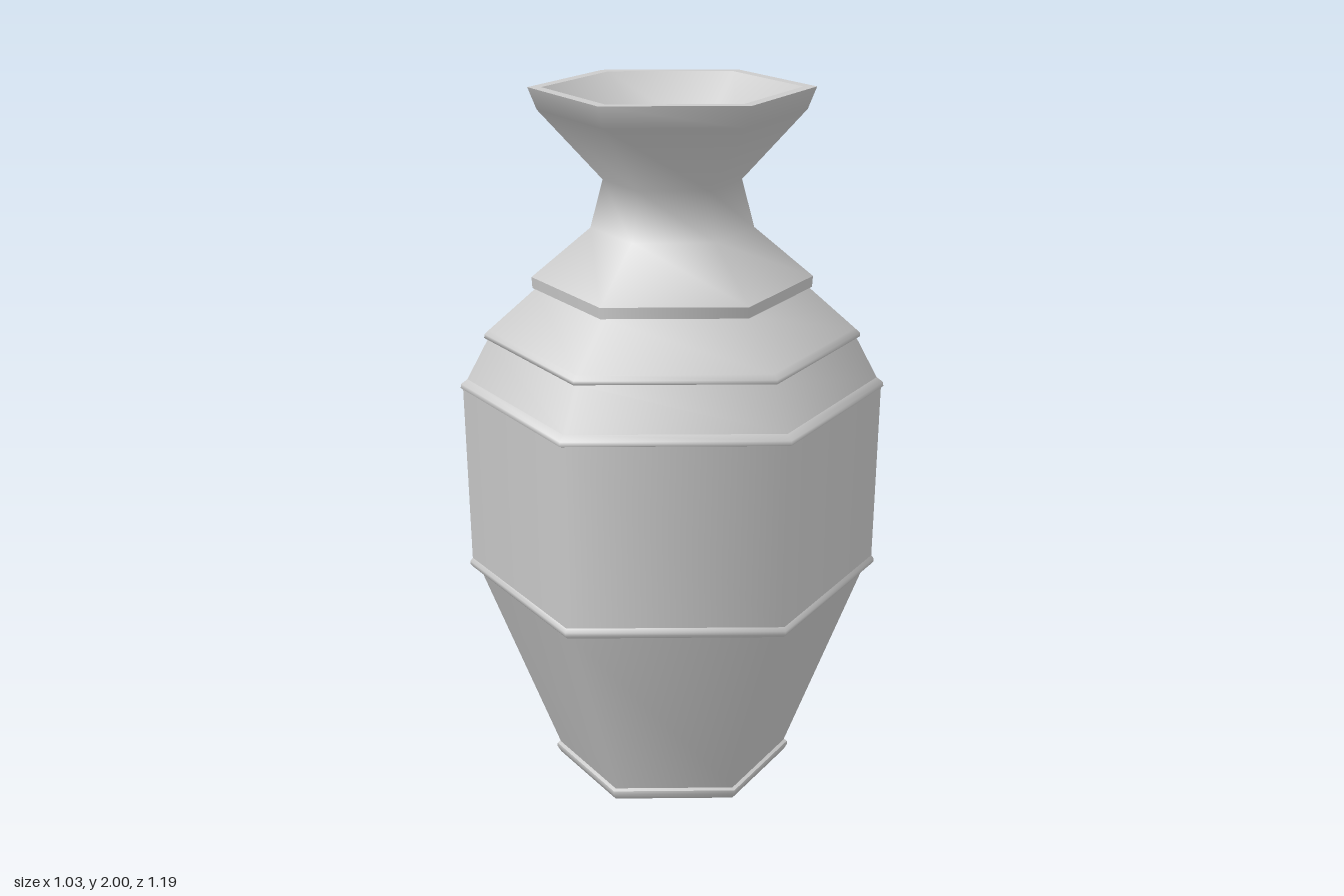
import * as THREE from 'three';

const SIDES = 6;

// Profiles are [radius, height] pairs; each section is smooth, with a crease between sections.
const SECTIONS = {
  bottom: [[0, 0], [0.30, 0]],
  foot: [[0.30, 0], [0.335, 0.012], [0.346, 0.03], [0.345, 0.04]],
  footLedge: [[0.345, 0.04], [0.335, 0.045]],
  lowerBody: [[0.335, 0.045], [0.56, 0.612]],
  lowerBandUnderside: [[0.56, 0.612], [0.577, 0.612]],
  lowerBand: [[0.577, 0.612], [0.587, 0.622], [0.587, 0.632], [0.58, 0.642]],
  middleBody: [[0.58, 0.642], [0.59, 1.155]],
  upperBand: [[0.59, 1.155], [0.597, 1.158], [0.595, 1.17], [0.577, 1.184]],
  lowerShoulder: [[0.577, 1.184], [0.515, 1.302]],
  shoulderBand: [[0.515, 1.302], [0.526, 1.304], [0.525, 1.315], [0.512, 1.327]],
  upperShoulder: [[0.512, 1.327], [0.378, 1.447]],
  collarUnderside: [[0.378, 1.447], [0.388, 1.447]],
  collar: [[0.388, 1.447], [0.39, 1.478]],
  neck: [[0.39, 1.478], [0.225, 1.617], [0.19, 1.75], [0.365, 1.94], [0.389, 2.0]],
  rim: [[0.389, 2.0], [0.352, 2.0]],
  innerWall: [[0.352, 2.0], [0.175, 1.85]],
  innerFloor: [[0.175, 1.85], [0, 1.85]],
};

export function createModel() {
  const vase = new THREE.Group();
  vase.name = 'vase';
  const material = new THREE.MeshStandardMaterial({ color: 0xcccccc });

  // Six-sided turned sections, with corners on the z axis
  for (const [name, profile] of Object.entries(SECTIONS)) {
    const points = profile.map(([r, y]) => new THREE.Vector2(r, y));
    const mesh = new THREE.Mesh(new THREE.LatheGeometry(points, SIDES), material);
    mesh.name = name;
    vase.add(mesh);
  }
  return vase;
}
